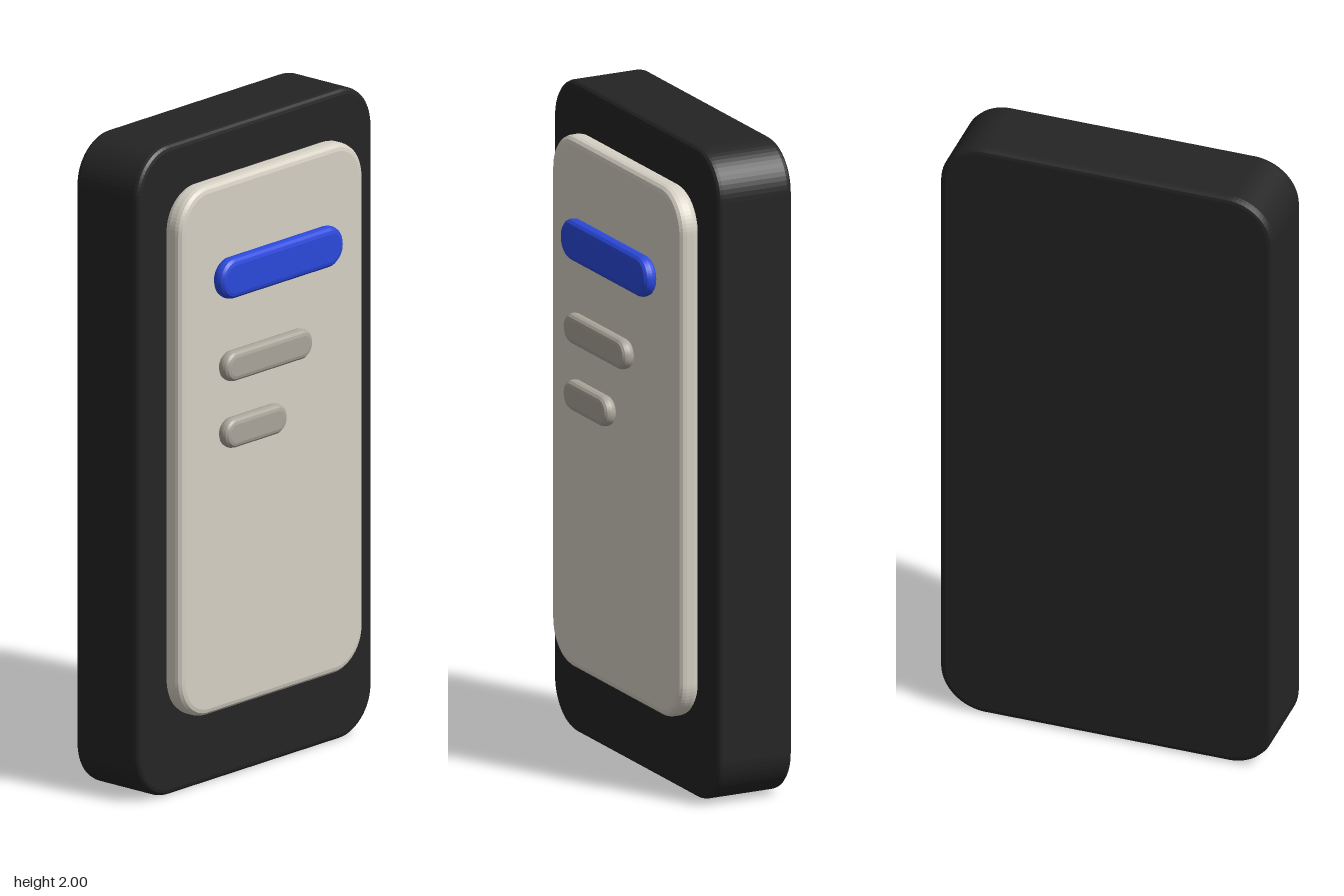
import * as THREE from 'three';

const mat = (name, color) => {
  const m = new THREE.MeshStandardMaterial({ color });
  m.name = name;
  return m;
};

// Rounded rectangle slab with bevelled rims, given by its outer bounds
function slab(name, material, [x0, x1], [y0, y1], [z0, z1], radius, bevel, bevelSegments) {
  const l = x0 + bevel, r = x1 - bevel, b = y0 + bevel, t = y1 - bevel;
  const c = Math.min(radius - bevel, (t - b) / 2 - 0.0005);
  const s = new THREE.Shape();
  s.moveTo(l + c, b);
  s.lineTo(r - c, b);
  s.absarc(r - c, b + c, c, -Math.PI / 2, 0);
  s.lineTo(r, t - c);
  s.absarc(r - c, t - c, c, 0, Math.PI / 2);
  s.lineTo(l + c, t);
  s.absarc(l + c, t - c, c, Math.PI / 2, Math.PI);
  s.lineTo(l, b + c);
  s.absarc(l + c, b + c, c, Math.PI, Math.PI * 1.5);
  const geo = new THREE.ExtrudeGeometry(s, {
    depth: z1 - z0 - 2 * bevel,
    bevelEnabled: true,
    bevelSize: bevel,
    bevelThickness: bevel,
    bevelSegments,
    curveSegments: 8,
  });
  geo.translate(0, 0, z0 + bevel);
  const mesh = new THREE.Mesh(geo, material);
  mesh.name = name;
  return mesh;
}

export function createModel() {
  const black = mat('black casing', 0x242424);
  const cream = mat('warm grey panel', 0xd6d0c4);
  const blue = mat('blue', 0x2b49dc);
  const grey = mat('mid grey', 0xaaa59a);

  const model = new THREE.Group();
  model.name = 'device';
  model.add(
    // Casing and raised front panel
    slab('casing', black, [-0.52, 0.52], [0, 2], [-0.182, 0.067], 0.14, 0.018, 3),
    slab('frontPanel', cream, [-0.408, 0.408], [0.235, 1.865], [0.067, 0.134], 0.125, 0.022, 3),
    // Raised bars on the panel
    slab('titleBar', blue, [-0.272, 0.272], [1.51, 1.635], [0.134, 0.18], 0.0625, 0.02, 3),
    slab('upperBar', grey, [-0.252, 0.135], [1.255, 1.347], [0.137, 0.18], 0.046, 0.018, 3),
    slab('lowerBar', grey, [-0.252, 0.022], [1.05, 1.142], [0.137, 0.18], 0.046, 0.018, 3),
  );
  return model;
}
